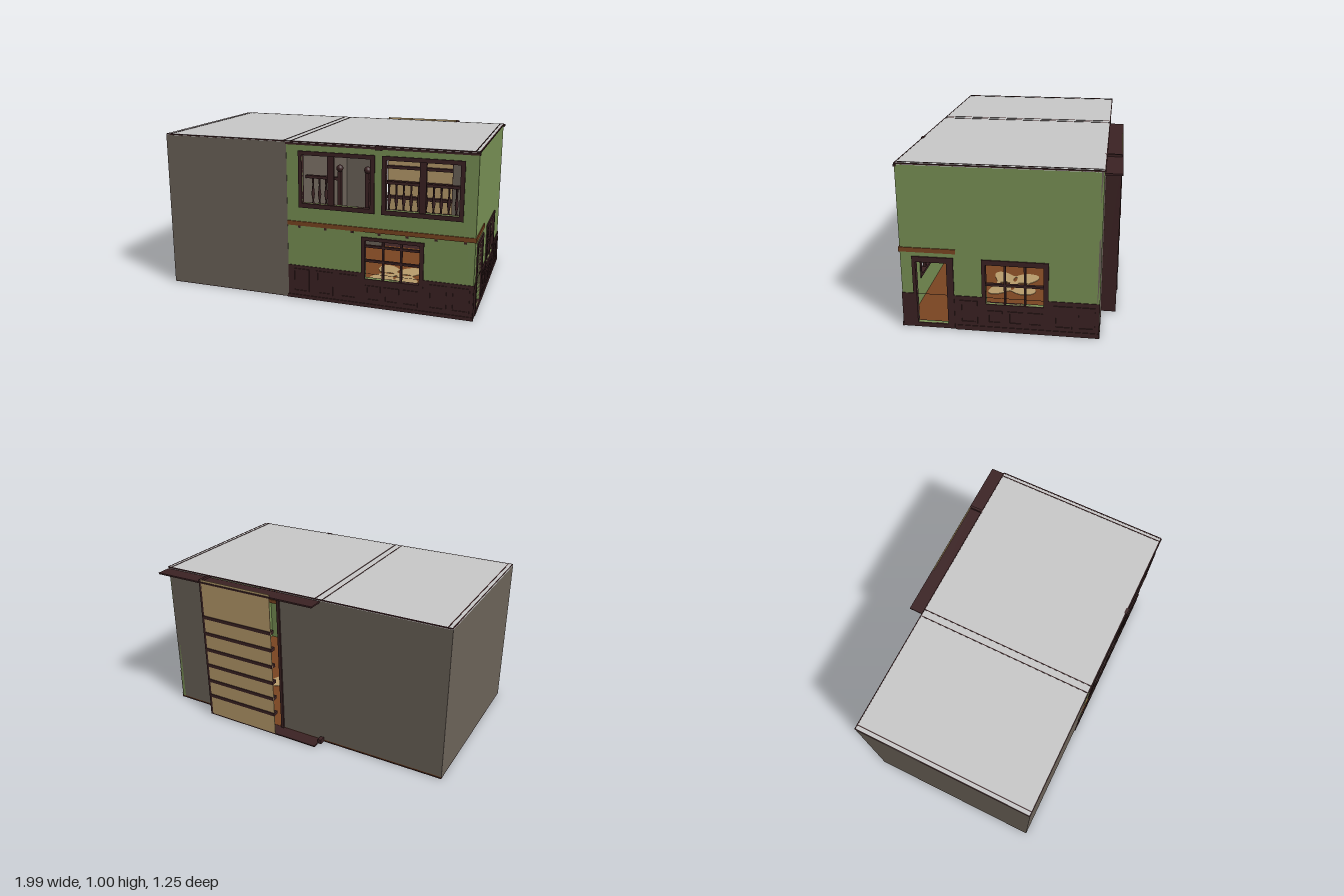
import * as THREE from 'three';

const mat = (name, color) => {
  const m = new THREE.MeshStandardMaterial({ color });
  m.name = name;
  return m;
};

export function createModel() {
  const green = mat('green plaster', 0x789054);
  const stone = mat('grey brown wall', 0x6c6359);
  const wood = mat('dark wood', 0x3b2223);
  const brown = mat('brown floor', 0x7a4521);
  const tan = mat('tan boards', 0xb89c6c);
  const pale = mat('pale roof', 0xc8c8c8);

  const model = new THREE.Group();
  model.name = 'house';

  // box given by its limits
  const box = (name, m, x0, x1, y0, y1, z0, z1, parent = model) => {
    const b = new THREE.Mesh(new THREE.BoxGeometry(x1 - x0, y1 - y0, z1 - z0), m);
    b.position.set((x0 + x1) / 2, (y0 + y1) / 2, (z0 + z1) / 2);
    b.name = name;
    parent.add(b);
    return b;
  };

  // flat sheet with rectangular openings [u0, u1, y0, y1]
  const sheet = (name, m, [u0, u1, y0, y1], holes, z0, depth, parent) => {
    const trace = (p, [a, b, c, d]) => {
      p.moveTo(a, c); p.lineTo(b, c); p.lineTo(b, d); p.lineTo(a, d); p.closePath();
      return p;
    };
    const s = trace(new THREE.Shape(), [u0, u1, y0, y1]);
    holes.forEach(h => s.holes.push(trace(new THREE.Path(), h)));
    const mesh = new THREE.Mesh(new THREE.ExtrudeGeometry(s, { depth, bevelEnabled: false }), m);
    mesh.position.z = z0;
    mesh.name = name;
    parent.add(mesh);
  };

  // frame with bars; outer limits, opening limits, bar centres
  const frame = (name, outer, inner, cols, rows, parent, bar = 0.012) => {
    sheet(name, wood, outer, [inner], -0.025, 0.033, parent);
    cols.forEach(u => box(name + 'Upright', wood, u - bar / 2, u + bar / 2, inner[2], inner[3], -0.018, 0, parent));
    rows.forEach(y => box(name + 'Crossbar', wood, inner[0], inner[1], y - 0.007, y + 0.007, -0.018, 0, parent));
  };

  // raised moulding around a wainscot panel
  const panel = (u0, u1, y0, y1, parent) => {
    sheet('panelMoulding', wood, [u0, u1, y0, y1],
      [[u0 + 0.013, u1 - 0.013, y0 + 0.013, y1 - 0.013]], 0.003, 0.006, parent);
  };

  // front facade: local z = 0 is the wall face
  const front = new THREE.Group();
  front.name = 'frontFacade';
  front.position.z = 0.613;
  model.add(front);
  const upper1 = [-0.07, 0.36, 0.62, 0.917], upper2 = [0.455, 0.885, 0.62, 0.917];
  const low = [0.33, 0.665, 0.182, 0.423];
  sheet('frontWall', green, [-0.17, 0.985, 0.004, 0.99], [upper1, upper2, low], -0.02, 0.02, front);
  sheet('frontWainscot', wood, [-0.17, 0.985, 0.004, 0.216], [[0.33, 0.665, 0.182, 0.215]], 0, 0.004, front);
  frame('upperWindow', [-0.092, 0.386, 0.592, 0.942], upper1, [0.112], [], front, 0.04);
  frame('upperWindow', [0.43, 0.91, 0.592, 0.942], upper2, [0.672], [], front, 0.04);
  frame('lowerWindow', [0.308, 0.69, 0.165, 0.444], low, [0.442, 0.553], [0.295, 0.386], front);
  for (const u of [-0.14, 0.015, 0.17, 0.72, 0.855]) panel(u, u + 0.11, 0.04, 0.195, front);
  for (const u of [0.335, 0.45, 0.565]) panel(u, u + 0.095, 0.04, 0.14, front);
  box('frontBaseboard', wood, -0.175, 0.99, 0, 0.022, 0, 0.009, front);
  box('frontCornice', wood, -0.175, 0.99, 0.977, 0.99, -0.01, 0.006, front);
  box('corniceBlock', wood, 0.39, 0.43, 0.972, 1.0, -0.01, 0.009, front);

  // right facade: local x runs toward the back
  const side = new THREE.Group();
  side.name = 'sideFacade';
  side.rotation.y = Math.PI / 2;
  side.position.x = 0.985;
  model.add(side);
  const door = [-0.525, -0.345, 0.03, 0.417], sideWin = [-0.12, 0.212, 0.176, 0.42];
  sheet('sideWall', green, [-0.613, 0.53, 0.004, 0.99], [door, sideWin], -0.02, 0.02, side);
  sheet('sideWainscot', wood, [-0.613, 0.53, 0.004, 0.216],
    [[-0.525, -0.345, 0.03, 0.215], [-0.12, 0.212, 0.176, 0.215]], 0, 0.004, side);
  frame('doorFrame', [-0.545, -0.305, 0.004, 0.45], door, [], [], side);
  frame('sideWindow', [-0.142, 0.24, 0.15, 0.45], sideWin, [-0.01, 0.105], [0.295], side);
  for (const u of [-0.275, 0.27, 0.4]) panel(u, u + 0.105, 0.045, 0.19, side);
  for (const u of [-0.115, 0.005, 0.12]) panel(u, u + 0.09, 0.05, 0.135, side);
  box('sideBaseboard', wood, -0.3, 0.53, 0, 0.03, 0, 0.008, side);

  // plain outer walls, floor and roof
  box('frontPlainWall', stone, -1, -0.17, 0.004, 0.99, 0.595, 0.615);
  box('leftWall', stone, -1, -0.98, 0.004, 0.99, -0.53, 0.615);
  box('backWallLeft', stone, -1, 0.13, 0.004, 0.99, -0.53, -0.515);
  box('backWallRight', stone, 0.65, 0.985, 0.004, 0.99, -0.53, -0.515);
  box('partition', stone, -0.185, -0.17, 0.012, 0.99, -0.52, 0.36);
  box('partitionBase', wood, -0.19, -0.165, 0, 0.03, -0.57, 0.36);
  box('groundFloor', brown, -1, 0.985, 0.002, 0.012, -0.53, 0.613);
  box('roof', pale, -1, 0.985, 0.988, 0.998, -0.533, 0.613);

  // thin dark seams on the roof and edges
  for (const x of [-0.97, -0.188, -0.14, 0.962]) box('roofSeam', wood, x - 0.003, x + 0.003, 0.996, 1, -0.533, 0.613);
  for (const z of [-0.533, 0.612]) box('roofEdge', wood, -1, 0.987, 0.992, 0.999, z - 0.003, z + 0.003);
  box('leftRoofEdge', wood, -1, -0.994, 0.992, 0.999, -0.533, 0.613);
  box('rightRoofEdge', wood, 0.982, 0.99, 0.992, 0.999, -0.533, 0.613);
  for (const z of [-0.53, 0.612]) box('groundEdge', wood, -1, 0.985, 0, 0.006, z - 0.003, z + 0.003);
  for (const x of [-0.997, 0.984]) box('groundEdge', wood, x - 0.003, x + 0.003, 0, 0.006, -0.53, 0.612);

  // gallery floor, showing as a band outside, with joist ends
  box('galleryFloor', brown, -0.17, 0.991, 0.476, 0.503, 0.29, 0.62);
  for (let i = 0; i < 7; i++) {
    const x = -0.1 + i * 0.17;
    box('joistEnd', wood, x, x + 0.016, 0.462, 0.476, 0.605, 0.619);
  }

  // gallery railing with turned balusters and ball newels
  const rail = new THREE.Group();
  rail.name = 'galleryRailing';
  model.add(rail);
  const turned = [[0.008, 0], [0.008, 0.04], [0.005, 0.055], [0.012, 0.1], [0.005, 0.16], [0.008, 0.21]]
    .map(([r, y]) => new THREE.Vector2(r, y));
  const balusterGeo = new THREE.LatheGeometry(turned, 8);
  for (const [a, b] of [[-0.165, 0.06], [0.25, 0.96]]) {
    box('handrail', wood, a, b, 0.708, 0.726, 0.295, 0.325, rail);
    const n = Math.round((b - a) / 0.048);
    for (let i = 1; i < n; i++) {
      const m = new THREE.Mesh(balusterGeo, wood);
      m.name = 'baluster';
      m.position.set(a + (b - a) * i / n, 0.503, 0.31);
      rail.add(m);
    }
  }
  for (const x of [0.065, 0.25]) {
    box('newelPost', wood, x - 0.013, x + 0.013, 0.503, 0.765, 0.297, 0.323, rail);
    const ball = new THREE.Mesh(new THREE.SphereGeometry(0.023, 12, 8), wood);
    ball.name = 'newelBall';
    ball.position.set(x, 0.785, 0.31);
    rail.add(ball);
  }

  // rear bay: tan back, dark cheek, shelves and cover plates
  box('bayBack', tan, 0.13, 0.65, 0.002, 0.998, -0.62, -0.616);
  box('bayCheek', wood, 0.645, 0.662, 0.002, 0.998, -0.62, -0.52);
  box('bayJamb', wood, 0.115, 0.135, 0.004, 0.98, -0.54, -0.505);
  for (let i = 0; i < 6; i++) {
    const y = 0.155 + i * 0.117;
    box('bayShelf', wood, 0.13, 0.65, y - 0.011, y + 0.011, -0.625, -0.585);
  }
  box('bayTopPlate', wood, -0.17, 0.99, 0.975, 0.985, -0.625, -0.53);
  box('bayBottomPlate', wood, -0.17, 0.65, 0.002, 0.01, -0.62, -0.53);

  // hide rug with four legs, visible on both faces of the floor
  const hide = new THREE.Shape();
  for (let i = 0; i <= 48; i++) {
    const a = i / 48 * Math.PI * 2;
    const r = 0.15 + 0.045 * Math.cos(4 * a + Math.PI) + 0.01 * Math.sin(7 * a);
    hide[i ? 'lineTo' : 'moveTo'](r * 1.05 * Math.cos(a), r * Math.sin(a));
  }
  for (let i = 0; i < 4; i++) {
    const a = i * Math.PI / 2, h = new THREE.Path();
    h.absellipse(0.06 * Math.cos(a), 0.06 * Math.sin(a), 0.035, 0.012, 0, Math.PI * 2, true, a);
    hide.holes.push(h);
  }
  const rug = new THREE.Mesh(new THREE.ExtrudeGeometry(hide, { depth: 0.014, bevelEnabled: false, curveSegments: 8 }), tan);
  rug.name = 'hideRug';
  rug.rotation.x = -Math.PI / 2;
  rug.position.set(0.39, 0.001, 0.05);
  model.add(rug);

  return model;
}
